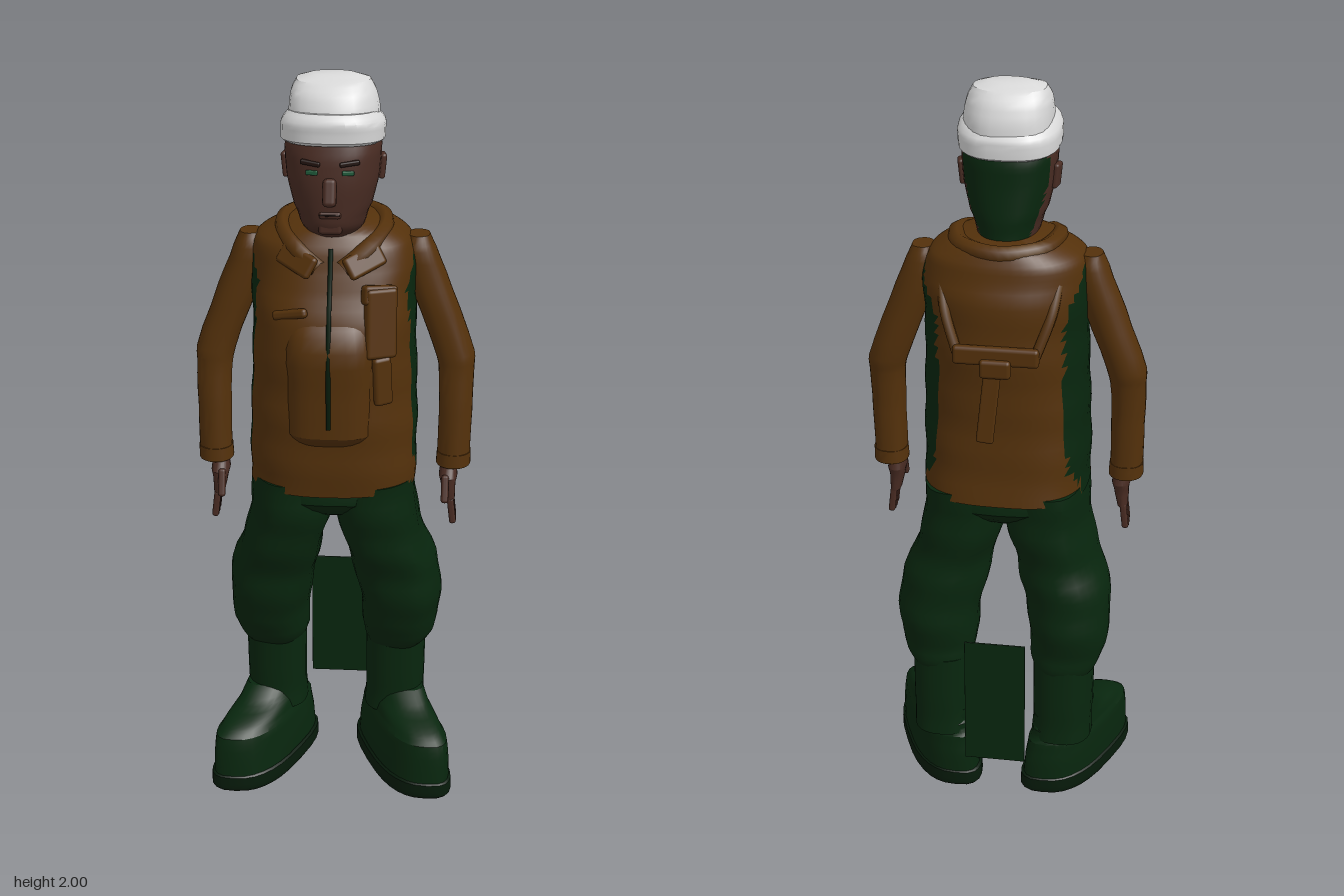
import * as THREE from 'three';
import { toCreasedNormals } from 'three/addons/utils/BufferGeometryUtils.js';
import { RoundedBoxGeometry } from 'three/addons/geometries/RoundedBoxGeometry.js';

const mat = (name, color) => {
  const m = new THREE.MeshStandardMaterial({ color });
  m.name = name;
  return m;
};
const V = (x, y, z) => new THREE.Vector3(x, y, z);

// Closed body through horizontal superellipse sections, listed bottom to top:
// [x, y, z, halfWidth, halfDepth, exponent]
function loft(sections, { seg = 28, sub = 3, fold = 0 } = {}) {
  const mid = new THREE.CatmullRomCurve3(sections.map(s => V(s[0], s[1], s[2])));
  const size = new THREE.CatmullRomCurve3(sections.map(s => V(s[3], s[4], s[5] ?? 2.2)));
  const rows = (sections.length - 1) * sub, pos = [], idx = [];
  for (let i = 0; i <= rows; i++) {
    const c = mid.getPoint(i / rows), r = size.getPoint(i / rows);
    for (let j = 0; j < seg; j++) {
      const a = j / seg * Math.PI * 2, ca = Math.cos(a), sa = Math.sin(a);
      const k = 1 + fold * Math.sin(a * 2 + c.y * 27) * Math.sin(a * 3 - c.y * 19);
      pos.push(
        c.x + Math.sign(ca) * Math.abs(ca) ** (2 / r.z) * r.x * k,
        c.y,
        c.z + Math.sign(sa) * Math.abs(sa) ** (2 / r.z) * r.y * k);
    }
  }
  const first = mid.getPoint(0), last = mid.getPoint(1), base = (rows + 1) * seg;
  pos.push(first.x, first.y, first.z, last.x, last.y, last.z);
  for (let j = 0; j < seg; j++) {
    const n = (j + 1) % seg;
    for (let i = 0; i < rows; i++) {
      const p = i * seg, q = p + seg;
      idx.push(p + j, q + j, p + n, p + n, q + j, q + n);
    }
    idx.push(base, j, n, base + 1, rows * seg + n, rows * seg + j);
  }
  const g = new THREE.BufferGeometry();
  g.setAttribute('position', new THREE.Float32BufferAttribute(pos, 3));
  g.setIndex(idx);
  return g;
}

// Sort triangles into two material groups by the position of their middle
function paint(g, isSecond) {
  const p = g.attributes.position, ix = g.index.array, sets = [[], []];
  for (let t = 0; t < ix.length; t += 3) {
    const f = [ix[t], ix[t + 1], ix[t + 2]], m = V(0, 0, 0);
    f.forEach(i => m.add(V(p.getX(i), p.getY(i), p.getZ(i))));
    m.divideScalar(3);
    sets[isSecond(m) ? 1 : 0].push(...f);
  }
  g.setIndex([...sets[0], ...sets[1]]);
  g.addGroup(0, sets[0].length, 0);
  g.addGroup(sets[0].length, sets[1].length, 1);
  return g;
}

// Shift every vertex sideways (dx) and upward (dy) in proportion to its depth
function shear(g, dx, dy, z0) {
  const p = g.attributes.position;
  for (let i = 0; i < p.count; i++) {
    const d = p.getZ(i) - z0;
    p.setXY(i, p.getX(i) + dx * d, p.getY(i) + dy * d);
  }
  return g;
}

const tube = (pts, r, n = 20) =>
  new THREE.TubeGeometry(new THREE.CatmullRomCurve3(pts.map(p => V(...p))), n, r, 7, false);

export function createModel() {
  const model = new THREE.Group();
  const brown = mat('jacket brown', 0x54310b), green = mat('dark green', 0x08260e);
  const skin = mat('skin', 0x492c23), white = mat('cap white', 0xd8d8d8);
  const sole = mat('sole green', 0x061a0a), dark = mat('brow dark', 0x21130f);
  const eye = mat('eye green', 0x1f5a3a);

  const add = (name, g, m, [x, y, z] = [0, 0, 0], [a, b, c] = [0, 0, 0]) => {
    const mesh = new THREE.Mesh(g.attributes.normal ? g : toCreasedNormals(g, 0.5), m);
    mesh.name = name;
    mesh.position.set(x, y, z);
    mesh.rotation.set(a, b, c);
    model.add(mesh);
  };
  const box = (name, size, m, at, rot, r = 0.01) =>
    add(name, new RoundedBoxGeometry(...size, 2, r), m, at, rot);

  // Jacket body with green side panels
  add('jacket', paint(loft([
    [0, 0.92, 0.003, 0.219, 0.196, 2.7], [0, 1.05, 0.012, 0.219, 0.197, 2.6],
    [0, 1.2, 0.014, 0.216, 0.202, 2.4], [0, 1.38, 0.008, 0.212, 0.207, 2.3],
    [0, 1.5, -0.012, 0.215, 0.18, 2.3], [0, 1.575, -0.015, 0.2, 0.155, 2.4],
    [0, 1.61, -0.018, 0.15, 0.135, 2.3], [0, 1.625, -0.02, 0.115, 0.115, 2.2],
  ], { seg: 56, sub: 5, fold: 0.018 }), m =>
    Math.abs(m.x) > 0.15 && m.y < 1.56 &&
    Math.abs(m.z + 0.02) < Math.min(0.115, (1.62 - m.y) * 0.72, 0.06 + Math.max(0, m.y - 0.95))), [brown, green]);
  add('frontPouch', loft([
    [0, 1.07, 0.12, 0.1, 0.09, 3], [0, 1.1, 0.12, 0.115, 0.114, 3.2],
    [0, 1.25, 0.12, 0.118, 0.118, 3.2], [0, 1.37, 0.12, 0.115, 0.11, 3], [0, 1.42, 0.11, 0.1, 0.08, 3],
  ]), brown);
  add('zipper', tube([[0, 1.58, 0.142], [0, 1.5, 0.174], [0, 1.43, 0.21], [0, 1.38, 0.226],
    [0, 1.33, 0.238], [0, 1.25, 0.241], [0, 1.13, 0.237]], 0.006), sole);
  add('hoodCollar', tube([[-0.03, 1.53, 0.15], [-0.09, 1.575, 0.12], [-0.13, 1.605, 0.02],
    [-0.1, 1.61, -0.1], [0, 1.605, -0.14], [0.1, 1.61, -0.1], [0.13, 1.605, 0.02],
    [0.09, 1.575, 0.12], [0.03, 1.53, 0.15]], 0.024, 40), brown);

  // Chest pocket, strap and back harness
  box('chestPocket', [0.085, 0.18, 0.03], brown, [0.128, 1.4, 0.18], [-0.12, 0.5, 0]);
  box('pocketFlap', [0.092, 0.05, 0.035], brown, [0.124, 1.47, 0.166], [-0.25, 0.5, 0]);
  box('hangingStrap', [0.05, 0.13, 0.022], brown, [0.135, 1.25, 0.194], [0, 0.5, 0.05]);
  box('chestFlap', [0.1, 0.025, 0.02], brown, [-0.1, 1.42, 0.185], [-0.2, -0.45, 0.15]);
  box('backBand', [0.22, 0.05, 0.025], brown, [0, 1.36, -0.207]);
  box('backStrap', [0.045, 0.23, 0.013], brown, [0.015, 1.24, -0.222], [0.05, 0, 0.1], 0.006);
  box('backBuckle', [0.08, 0.05, 0.025], brown, [0, 1.33, -0.22]);

  // Head: face in front, dark hair behind
  add('head', paint(loft([
    [0, 1.56, 0.0, 0.078, 0.095], [0, 1.61, 0.015, 0.078, 0.11], [0, 1.635, 0.033, 0.084, 0.13, 2.3],
    [0, 1.68, 0.037, 0.1, 0.134, 2.4], [0, 1.75, 0.042, 0.116, 0.133, 2.4],
    [0, 1.81, 0.041, 0.121, 0.13, 2.4], [0, 1.87, 0.04, 0.108, 0.115, 2.3],
  ], { seg: 40, sub: 4 }), m => m.z < -0.03 - Math.max(0, 1.76 - m.y) * 0.2), [skin, green]);
  box('nose', [0.034, 0.07, 0.04], skin, [0, 1.735, 0.178], [-0.3, 0, 0], 0.012);
  box('lips', [0.055, 0.018, 0.02], skin, [0, 1.675, 0.165], [0, 0, 0], 0.007);
  box('mouthLine', [0.05, 0.004, 0.006], dark, [0, 1.676, 0.174], [0, 0, 0], 0.001);
  box('chin', [0.06, 0.035, 0.025], skin, [0, 1.64, 0.153]);

  // Knitted cap with rolled brim
  add('capCrown', loft([
    [0, 1.87, 0.04, 0.114, 0.122, 2.4], [0, 1.92, 0.035, 0.113, 0.114, 2.4],
    [0, 1.96, 0.033, 0.106, 0.096, 2.4], [0, 1.987, 0.033, 0.092, 0.068, 2.4], [0, 2, 0.033, 0.055, 0.03],
  ], { fold: 0.03 }), white);
  add('capBrim', shear(loft([
    [0, 1.836, 0.042, 0.118, 0.124, 2.5], [0, 1.844, 0.042, 0.13, 0.134, 2.5],
    [0, 1.872, 0.043, 0.131, 0.135, 2.5], [0, 1.9, 0.046, 0.122, 0.128, 2.4], [0, 1.914, 0.05, 0.108, 0.112, 2.4],
  ], { fold: 0.01 }), 0, 0.09, 0.04), white);

  // Seat of the trousers and the panel hanging behind the legs
  add('trouserSeat', loft([
    [0, 0.79, -0.005, 0.03, 0.03], [0, 0.84, 0, 0.13, 0.13, 2.4], [0, 0.91, 0, 0.205, 0.18, 2.7],
    [0, 0.97, 0, 0.2, 0.165, 2.7],
  ]), green);
  box('rearPanel', [0.165, 0.375, 0.004], green, [0, 0.34, -0.24], [0, 0, 0], 0.001);

  for (const s of [1, -1]) {
    const side = s > 0 ? 'left' : 'right';
    const half = rows => rows.map(([x, ...rest]) => [s * x, ...rest]);

    // Face details
    box(side + 'Ear', [0.016, 0.065, 0.038], skin, [s * 0.121, 1.765, 0.02], [0, s * 0.2, s * -0.1], 0.007);
    box(side + 'Eye', [0.03, 0.012, 0.008], eye, [s * 0.045, 1.783, 0.17], [0, s * 0.2, 0], 0.003);
    box(side + 'Brow', [0.05, 0.012, 0.014], dark, [s * 0.048, 1.806, 0.165], [0, s * 0.2, s * 0.12], 0.004);

    // Collar lapel and shoulder harness
    box(side + 'Lapel', [0.11, 0.06, 0.02], brown, [s * 0.085, 1.55, 0.143], [-0.5, s * 0.45, s * 0.55]);
    add(side + 'BackStrap', tube([[s * 0.15, 1.55, -0.115], [s * 0.135, 1.46, -0.165],
      [s * 0.1, 1.36, -0.198]], 0.014), brown);

    // Sleeve
    add(side + 'Sleeve', loft(half([
      [0.318, 0.95, 0.003, 0.043, 0.049], [0.32, 1.1, 0, 0.044, 0.049], [0.319, 1.22, -0.008, 0.047, 0.051],
      [0.314, 1.26, -0.013, 0.052, 0.055], [0.252, 1.43, -0.015, 0.053, 0.054],
      [0.218, 1.54, -0.015, 0.044, 0.05], [0.217, 1.578, -0.015, 0.028, 0.036],
    ]), { fold: 0.03 }), brown);
    add(side + 'Cuff', loft(half([
      [0.318, 0.945, 0.003, 0.04, 0.046], [0.318, 0.95, 0.003, 0.046, 0.052], [0.319, 0.985, 0.003, 0.045, 0.051],
    ])), brown);

    // Hand with fingers and thumb
    add(side + 'Palm', loft(half([
      [0.311, 0.85, 0.017, 0.014, 0.034, 2.6], [0.306, 0.9, 0.02, 0.02, 0.042, 2.6],
      [0.306, 0.96, 0.008, 0.02, 0.028],
    ])), skin);
    for (let i = 0; i < 4; i++)
      box(side + 'Finger', [0.018, i % 3 ? 0.085 : 0.075, 0.016], skin,
        [s * 0.317, 0.822, -0.008 + i * 0.0175], [0, 0, s * 0.12], 0.007);
    box(side + 'Thumb', [0.02, 0.075, 0.022], skin, [s * 0.298, 0.895, 0.068], [-0.35, 0, 0], 0.008);

    // Baggy trouser leg
    add(side + 'TrouserLeg', loft(half([
      [0.17, 0.375, -0.068, 0.075, 0.09, 2.4], [0.173, 0.4, -0.064, 0.09, 0.106, 2.4],
      [0.179, 0.46, -0.052, 0.105, 0.124, 2.3], [0.18, 0.54, -0.04, 0.112, 0.144, 2.3],
      [0.166, 0.63, -0.028, 0.117, 0.148, 2.3], [0.14, 0.72, -0.01, 0.108, 0.16, 2.4],
      [0.114, 0.82, -0.002, 0.11, 0.176, 2.5], [0.109, 0.94, 0.002, 0.107, 0.182, 2.5],
    ]), { sub: 4, fold: 0.04 }), green);

    // Rubber boot
    add(side + 'BootShaft', loft(half([
      [0.166, 0.17, -0.078, 0.084, 0.096, 2.5], [0.168, 0.25, -0.076, 0.082, 0.096, 2.4],
      [0.168, 0.41, -0.07, 0.084, 0.1, 2.4],
    ])), green);
    add(side + 'BootFoot', shear(loft(half([
      [0.16, 0.035, 0.01, 0.097, 0.183, 2.7], [0.163, 0.1, 0.008, 0.094, 0.181, 2.7],
      [0.165, 0.16, 0.006, 0.087, 0.174, 2.7], [0.165, 0.182, -0.006, 0.078, 0.154, 2.5],
      [0.165, 0.205, -0.04, 0.072, 0.115, 2.3], [0.166, 0.24, -0.07, 0.068, 0.085, 2.3],
    ])), s * 0.4, 0, -0.08), green);
    add(side + 'BootSole', shear(loft(half([
      [0.16, 0, 0.01, 0.098, 0.18, 2.7], [0.16, 0.012, 0.01, 0.104, 0.188, 2.7],
      [0.16, 0.045, 0.01, 0.103, 0.187, 2.7], [0.16, 0.05, 0.01, 0.097, 0.18, 2.7],
    ])), s * 0.4, 0, -0.08), sole);
  }
  return model;
}
